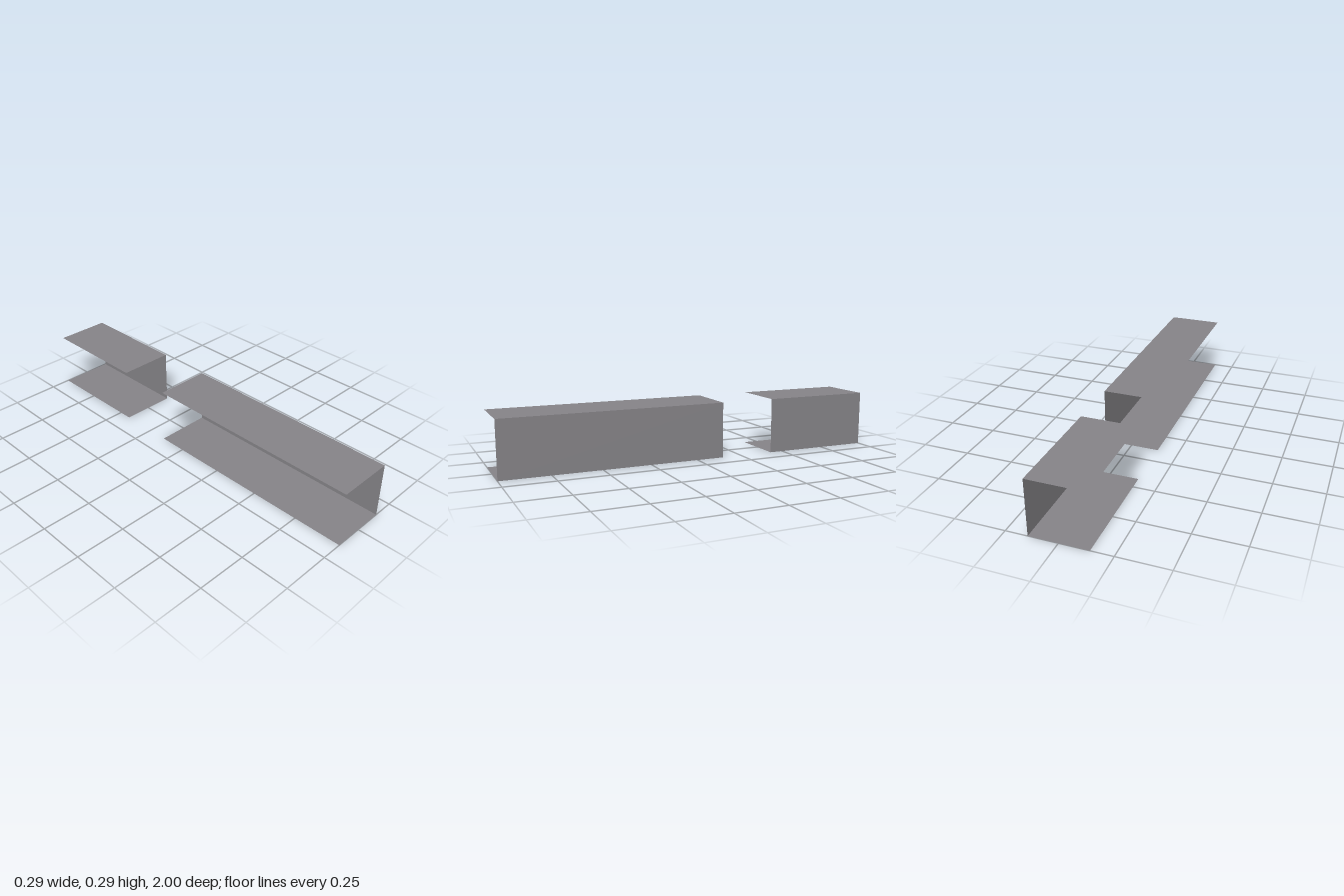
import * as THREE from 'three';

const SIZE = 2 / 7; // width and height of the channel section

export function createModel() {
  const model = new THREE.Group();
  model.name = 'splitChannel';

  const grey = new THREE.MeshStandardMaterial({ color: 0x868488, side: THREE.DoubleSide });
  grey.name = 'warm grey';

  // Sheet-thin channel, open towards -x, running from zBack to zFront
  function channel(name, zBack, zFront) {
    const length = zFront - zBack;
    const group = new THREE.Group();
    group.name = name;
    group.position.z = (zBack + zFront) / 2;

    // Upright web on the +x side
    const web = new THREE.Mesh(new THREE.PlaneGeometry(length, SIZE).rotateY(Math.PI / 2), grey);
    web.name = 'web';
    web.position.set(SIZE / 2, SIZE / 2, 0);
    group.add(web);

    // Horizontal flanges, both facing up
    for (const [label, y] of [['bottomFlange', 0], ['topFlange', SIZE]]) {
      const flange = new THREE.Mesh(new THREE.PlaneGeometry(SIZE, length).rotateX(-Math.PI / 2), grey);
      flange.name = label;
      flange.position.y = y;
      group.add(flange);
    }
    return group;
  }

  model.add(channel('longChannel', -1 / 7, 1), channel('shortChannel', -1, -3 / 7));
  return model;
}
